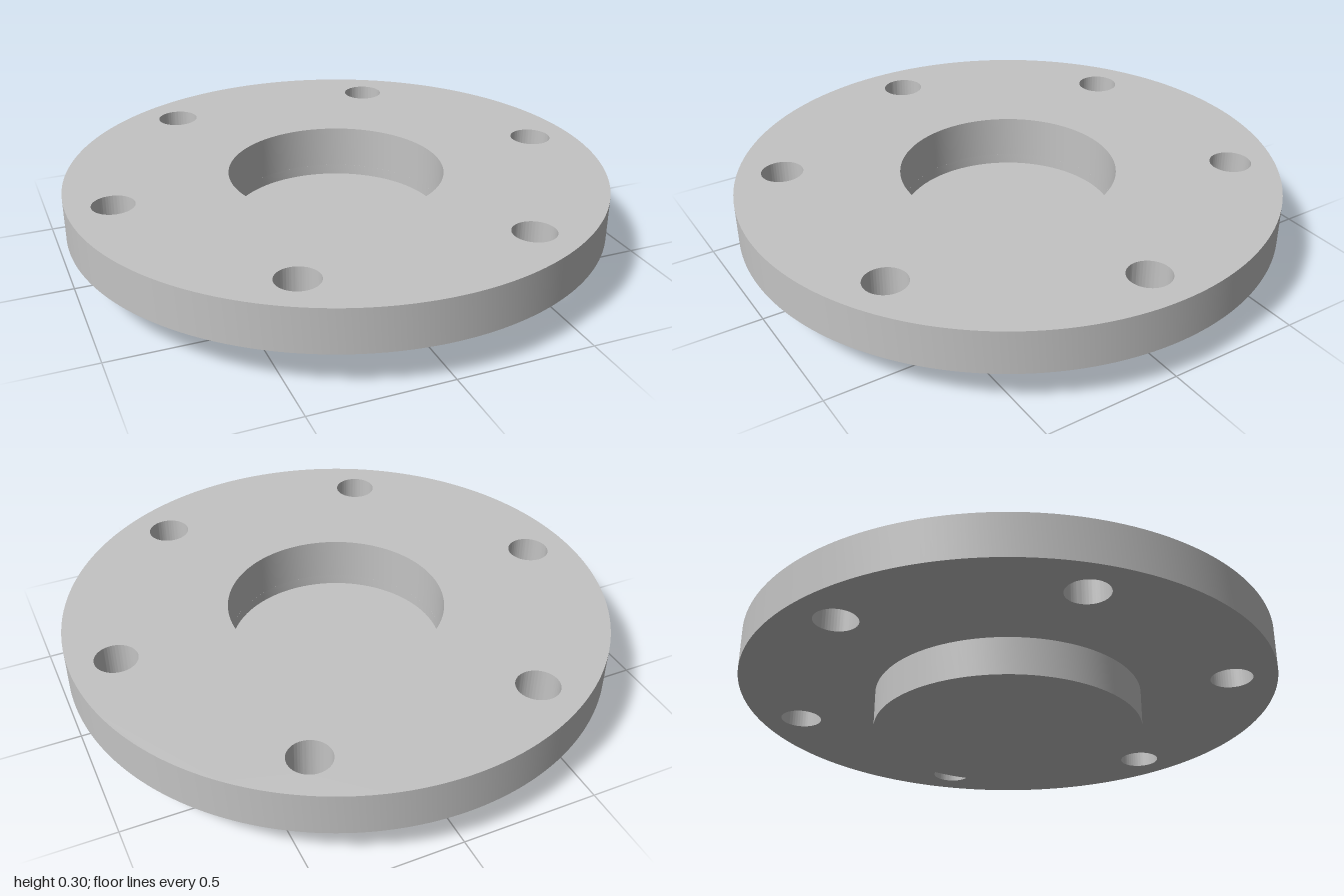
import * as THREE from 'three';
import { toCreasedNormals } from 'three/addons/utils/BufferGeometryUtils.js';

const SEGMENTS = 96;
const FLANGE_BOTTOM = 0.14, FLANGE_TOP = 0.3;
const RECESS_RADIUS = 0.4, RECESS_FLOOR = 0.1;
const HUB_RADIUS = 0.5;
const BOLT_COUNT = 6, BOLT_CIRCLE = 0.835, BOLT_RADIUS = 0.077;

function circle(Type, x, y, radius) {
  const path = new Type();
  path.absarc(x, y, radius, 0, Math.PI * 2, false);
  return path;
}

export function createModel() {
  const group = new THREE.Group();
  group.name = 'blindFlange';

  const steel = new THREE.MeshStandardMaterial({ color: 0xc4c4c4 });
  steel.name = 'steel grey';

  const add = (name, geometry) => {
    const mesh = new THREE.Mesh(toCreasedNormals(geometry, Math.PI / 6), steel);
    mesh.name = name;
    group.add(mesh);
  };

  // Flange disc with the central opening and a ring of bolt holes
  const disc = circle(THREE.Shape, 0, 0, 1);
  disc.holes.push(circle(THREE.Path, 0, 0, RECESS_RADIUS));
  for (let i = 0; i < BOLT_COUNT; i++) {
    const a = (i / BOLT_COUNT) * Math.PI * 2;
    disc.holes.push(circle(THREE.Path, Math.cos(a) * BOLT_CIRCLE, Math.sin(a) * BOLT_CIRCLE, BOLT_RADIUS));
  }
  const flange = new THREE.ExtrudeGeometry(disc, {
    depth: FLANGE_TOP - FLANGE_BOTTOM, bevelEnabled: false, curveSegments: SEGMENTS,
  });
  flange.rotateX(-Math.PI / 2);
  flange.translate(0, FLANGE_BOTTOM, 0);
  add('flange', flange);

  // Hub below the flange: closed underside, outer wall, recess wall and recess floor
  const profile = [
    [0, 0], [HUB_RADIUS, 0], [HUB_RADIUS, FLANGE_BOTTOM],
    [RECESS_RADIUS, FLANGE_BOTTOM], [RECESS_RADIUS, RECESS_FLOOR], [0, RECESS_FLOOR],
  ].map(([x, y]) => new THREE.Vector2(x, y));
  add('hub', new THREE.LatheGeometry(profile, SEGMENTS));

  return group;
}
